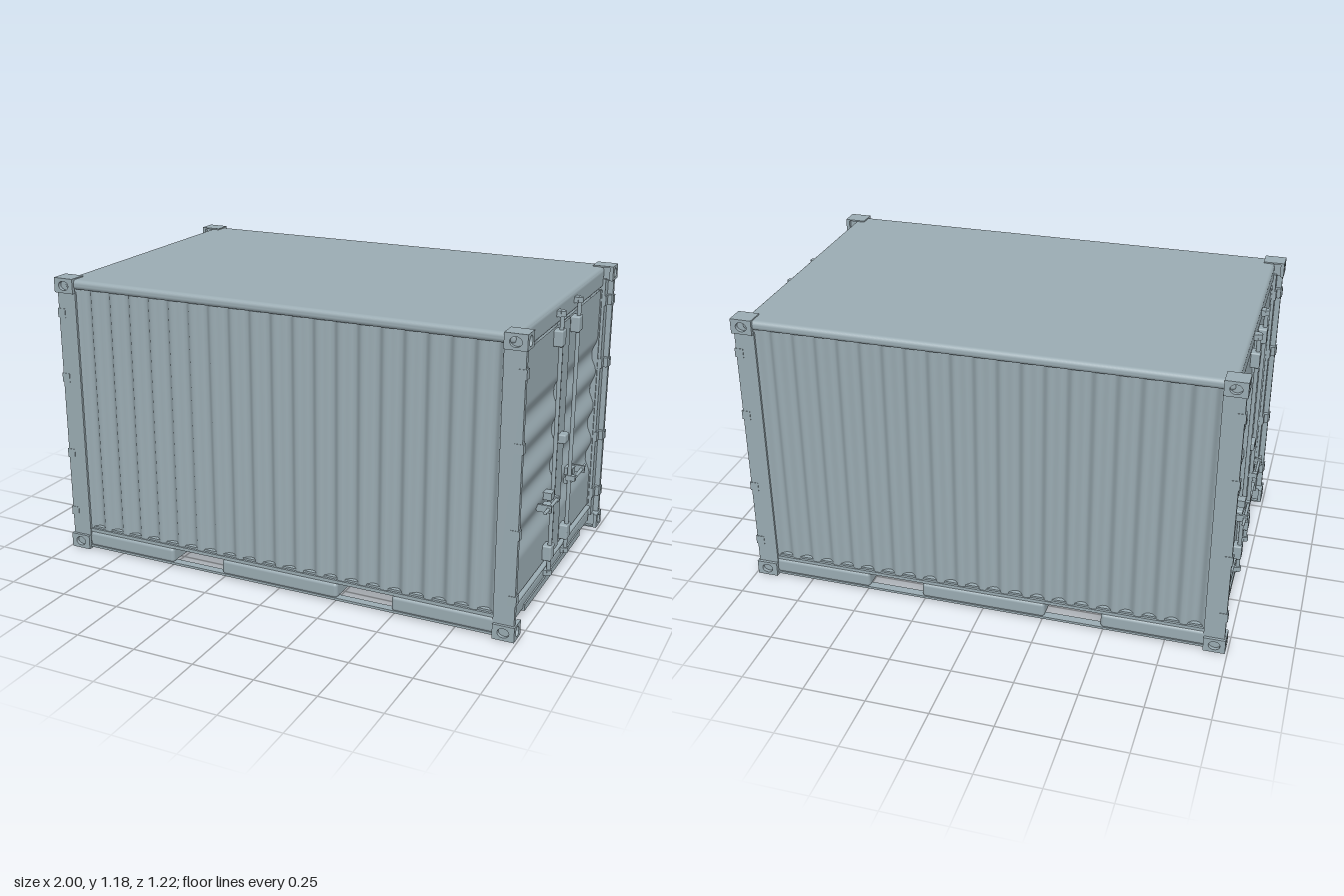
import * as THREE from 'three';
import { toCreasedNormals } from 'three/addons/utils/BufferGeometryUtils.js';
import { RoundedBoxGeometry } from 'three/addons/geometries/RoundedBoxGeometry.js';

export function createModel() {
  const steel = new THREE.MeshStandardMaterial({ color: 0x9aabb2 });
  steel.name = 'greySteel';
  const sheet = new THREE.MeshStandardMaterial({ color: 0x9aabb2, side: THREE.DoubleSide });
  sheet.name = 'greySteelSheet';
  const model = new THREE.Group();
  model.name = 'shippingContainer';

  const add = (parent, name, geo, x = 0, y = 0, z = 0, mat = steel) => {
    const m = new THREE.Mesh(geo, mat);
    m.name = name;
    m.position.set(x, y, z);
    parent.add(m);
    return m;
  };
  // Box given by its limits on each axis
  const box = (parent, name, x0, x1, y0, y1, z0, z1, r = 0) => {
    const s = [x1 - x0, y1 - y0, z1 - z0];
    const geo = r ? new RoundedBoxGeometry(...s, 3, r) : new THREE.BoxGeometry(...s);
    return add(parent, name, geo, (x0 + x1) / 2, (y0 + y1) / 2, (z0 + z1) / 2);
  };
  // Sheet whose height follows a rule
  const wavySheet = (w, h, nx, ny, rule) => {
    const geo = new THREE.PlaneGeometry(w, h, nx, ny);
    const p = geo.attributes.position;
    for (let i = 0; i < p.count; i++) p.setZ(i, rule(p.getX(i), p.getY(i)));
    geo.computeVertexNormals();
    return geo;
  };

  // Roof with rounded side rails
  box(model, 'roof', -0.948, 0.948, 1.135, 1.175, -0.603, 0.603, 0.017);

  // Floor and the understructure between the forklift pockets
  box(model, 'floor', -0.945, 0.945, 0.08, 0.1, -0.585, 0.585);
  for (const [a, b] of [[-0.935, -0.49], [-0.26, 0.26], [0.49, 0.935]]) {
    box(model, 'underBlock', a, b, 0.022, 0.082, -0.575, 0.575);
  }

  // Corrugated long sides with their lower rails
  const waves = 20, span = 1.82;
  for (const s of [1, -1]) {
    const side = new THREE.Group();
    side.name = s > 0 ? 'frontSide' : 'backSide';
    side.rotation.y = s > 0 ? 0 : Math.PI;
    model.add(side);
    const corrugation = wavySheet(span, 1.07, waves * 12, 1, x => {
      const c = Math.cos((x / span) * waves * Math.PI * 2);
      return 0.012 * Math.max(-1, Math.min(1, c * 1.3));
    });
    add(side, 'corrugatedWall', corrugation, 0, 0.613, 0.579, sheet);
    box(side, 'bottomStrip', -0.91, 0.91, 0.008, 0.018, 0.565, 0.6);
    box(side, 'wallSill', -0.91, 0.91, 0.078, 0.092, 0.56, 0.595);
    for (const [a, b] of [[-0.91, -0.49], [-0.26, 0.26], [0.49, 0.91]]) {
      box(side, 'bottomRail', a, b, 0.012, 0.078, 0.555, 0.598, 0.015);
    }
  }

  // Plate with a slot, used for the faces of the corner castings
  const slottedPlate = (w, h, hw, hh) => {
    const s = new THREE.Shape();
    s.moveTo(-w / 2, -h / 2).lineTo(w / 2, -h / 2).lineTo(w / 2, h / 2).lineTo(-w / 2, h / 2).closePath();
    const hole = new THREE.Path();
    hole.absellipse(0, 0, hw, hh, 0, Math.PI * 2, true);
    s.holes.push(hole);
    const geo = new THREE.ExtrudeGeometry(s, { depth: 0.015, bevelEnabled: false, curveSegments: 12 });
    return toCreasedNormals(geo, 0.6);
  };
  const endPlate = slottedPlate(0.076, 0.06, 0.017, 0.021);
  const sidePlate = slottedPlate(0.087, 0.06, 0.023, 0.019);

  // Corner castings and posts
  for (const sx of [1, -1]) for (const sz of [1, -1]) {
    for (const y of [0.031, 1.149]) {
      const casting = new THREE.Group();
      casting.name = 'cornerCasting';
      casting.position.set(sx * 0.9475, y, sz * 0.574);
      model.add(casting);
      add(casting, 'castingCore', new THREE.BoxGeometry(0.057, 0.06, 0.046));
      const e = add(casting, 'castingEndFace', endPlate, sx * 0.0285);
      e.rotation.y = sx * Math.PI / 2;
      const f = add(casting, 'castingSideFace', sidePlate, 0, 0, sz * 0.023);
      f.rotation.y = sz > 0 ? 0 : Math.PI;
      // Close the inner edges and the outer horizontal face
      const out = y > 0.5 ? 1 : -1;
      add(casting, 'castingCap', new THREE.BoxGeometry(0.087, 0.006, 0.076), 0, out * 0.028, 0);
    }
    const px = [sx * 0.902, sx * 0.985].sort((a, b) => a - b);
    const pz = [sz * 0.537, sz * 0.6].sort((a, b) => a - b);
    // L-shaped post: long side flange and end flange
    box(model, 'cornerPostSide', px[0], px[1], 0.055, 1.125, sz > 0 ? 0.58 : -0.6, sz > 0 ? 0.6 : -0.58);
    const qx = [sx * 0.902, sx * 0.962].sort((a, b) => a - b);
    box(model, 'cornerPostEnd', qx[0], qx[1], 0.055, 1.125, pz[0], pz[1]);
  }

  // One door end, facing +x
  const buildEnd = (name) => {
    const end = new THREE.Group();
    end.name = name;
    model.add(end);
    box(end, 'header', 0.9, 0.95, 1.085, 1.172, -0.56, 0.56, 0.018);
    box(end, 'sill', 0.9, 0.952, 0.022, 0.082, -0.545, 0.545, 0.012);
    box(end, 'sillStep', 0.9, 0.958, 0.018, 0.045, -0.385, 0.385);
    box(end, 'threshold', 0.9, 0.957, 0.085, 0.1, -0.59, 0.59, 0.006);
    box(end, 'doorSeam', 0.925, 0.953, 0.112, 1.078, -0.055, 0.03);

    // Horizontal grooves pressed into each door leaf
    const pressing = wavySheet(0.54, 0.972, 1, 120, (x, v) => {
      const t = (v + 0.595 - 0.255) / 0.155;
      return t > 0 && t < 4 ? -0.011 * (1 - Math.cos(t * Math.PI * 2)) : 0;
    });
    for (const s of [1, -1]) {
      const leaf = add(end, 'doorLeaf', pressing, 0.945, 0.595, s * 0.27, sheet);
      leaf.rotation.y = Math.PI / 2;
      const z = s * 0.117;
      const b = (n, x0, x1, y0, y1, za, zb, r) =>
        box(end, n, x0, x1, y0, y1, Math.min(s * za, s * zb), Math.max(s * za, s * zb), r);

      // Locking rod with its keepers and guides
      add(end, 'lockingRod', new THREE.CylinderGeometry(0.0085, 0.0085, 1.09, 12), 0.968, 0.6, z);
      for (const y of [0.068, 1.135]) {
        add(end, 'rodCam', new THREE.CylinderGeometry(0.014, 0.014, 0.022, 12), 0.968, y, z);
        b('camKeeper', 0.945, 0.966, y - 0.012, y + 0.012, 0.1, 0.134);
      }
      for (const y of [0.155, 1.04]) {
        b('rodGuide', 0.94, 0.98, y - 0.032, y + 0.032, 0.088, 0.14, 0.006);
      }

      // Handle, its hub and its catch
      b('handleBracket', 0.94, 0.978, 0.395, 0.425, 0.125, 0.165);
      b('handleCatch', 0.94, 0.972, 0.352, 0.378, 0.13, 0.168, 0.006);
      b('handle', 0.982, 0.994, 0.383, 0.395, 0.11, 0.283, 0.004);
      b('handleHub', 0.955, 0.994, 0.378, 0.4, 0.108, 0.128);
      b('handleHolder', 0.94, 1.0, 0.374, 0.404, 0.228, 0.238);

      // Hinges between post and leaf
      for (const y of [0.163, 0.425, 0.757, 1.032]) {
        b('hingeLeaf', 0.95, 0.968, y - 0.021, y + 0.021, 0.535, 0.59);
        b('hingeLug', 0.955, 0.99, y - 0.019, y + 0.019, 0.575, 0.602);
        const pin = new THREE.CylinderGeometry(0.01, 0.01, 0.042, 12);
        add(end, 'hingePin', pin, 0.974, y, s * 0.572);
      }
      b('doorEdge', 0.925, 0.95, 0.112, 1.078, 0.53, 0.545);
    }

    // Lock box on the door seam
    box(end, 'lockBox', 0.94, 0.982, 0.582, 0.62, -0.025, 0.025, 0.006);
    return end;
  };
  buildEnd('rightDoorEnd');
  buildEnd('leftDoorEnd').rotation.y = Math.PI;

  return model;
}
